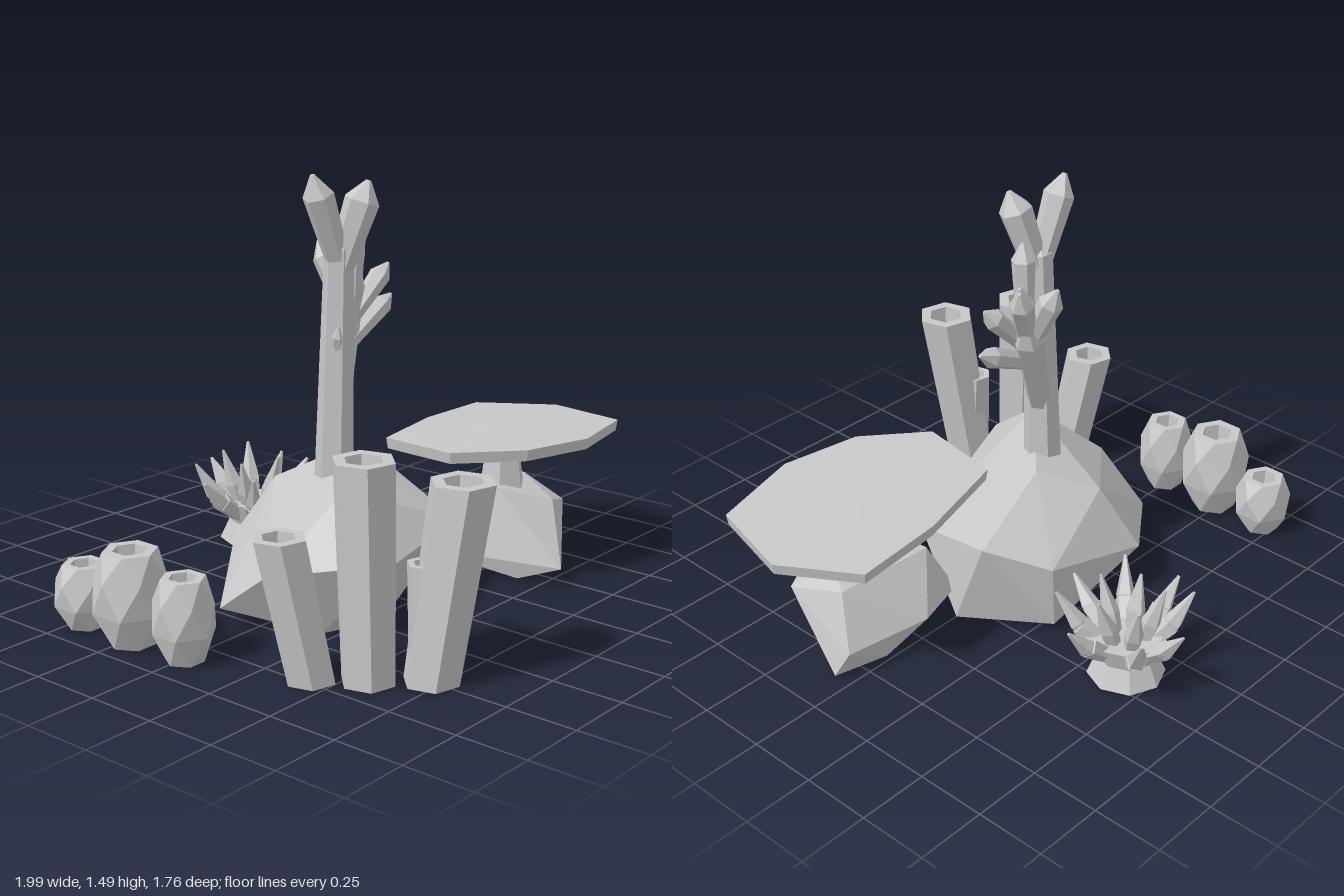
import * as THREE from 'three';
import { ConvexGeometry } from 'three/addons/geometries/ConvexGeometry.js';

const V = (x, y, z) => new THREE.Vector3(x, y, z);

export function createModel() {
  const root = new THREE.Group();
  const stone = new THREE.MeshStandardMaterial({ color: 0xc8c8c8 });
  stone.name = 'stone';

  function add(parent, name, geometry) {
    const g = geometry.index ? geometry.toNonIndexed() : geometry;
    g.computeVertexNormals(); // one normal per face
    const mesh = new THREE.Mesh(g, stone);
    mesh.name = name;
    parent.add(mesh);
    return mesh;
  }
  function group(name) {
    const g = new THREE.Group();
    g.name = name;
    root.add(g);
    return g;
  }

  // Skin over a stack of rings, listed from the bottom up
  function loft(rings) {
    const n = rings[0].length, pos = [];
    const tri = (...p) => p.forEach(v => pos.push(v.x, v.y, v.z));
    for (let j = 0; j < rings.length - 1; j++) {
      for (let i = 0; i < n; i++) {
        const k = (i + 1) % n, a = rings[j], b = rings[j + 1];
        if (a[i].distanceTo(a[k]) > 1e-6) tri(a[i], b[i], a[k]);
        if (b[i].distanceTo(b[k]) > 1e-6) tri(a[k], b[i], b[k]);
      }
    }
    const g = new THREE.BufferGeometry();
    g.setAttribute('position', new THREE.Float32BufferAttribute(pos, 3));
    return g;
  }
  // Horizontal regular ring
  function ring(x, y, z, r, sides, twist = 0) {
    return Array.from({ length: sides }, (_, i) => {
      const t = (i / sides) * Math.PI * 2 + twist;
      return V(x + r * Math.cos(t), y, z + r * Math.sin(t));
    });
  }
  // Pointed limb that is widest at the swell
  function limb(parent, name, from, to, r, sides = 6, swell = 0.78) {
    const a = V(...from), d = V(...to).sub(a), len = d.length();
    const g = loft([
      ring(0, 0, 0, 0, sides), ring(0, 0, 0, r * 0.75, sides),
      ring(0, len * swell, 0, r, sides), ring(0, len, 0, r * 0.15, sides),
      ring(0, len, 0, 0, sides)]);
    g.applyQuaternion(new THREE.Quaternion().setFromUnitVectors(V(0, 1, 0), d.normalize()));
    g.translate(a.x, a.y, a.z);
    add(parent, name, g);
  }

  // Rocks
  const hull = pts => new ConvexGeometry(pts.map(p => V(...p)));
  add(root, 'largeRock', hull([
    [-0.38, 0.29, 0.47], [-0.33, 0.48, 0.23], [0, 0.485, -0.08], [-0.17, 0.4, -0.23],
    [0.25, 0.235, 0.25], [0.34, 0.35, -0.14], [0.18, 0.27, -0.32], [0.16, 0.03, -0.31],
    [-0.24, 0.18, -0.36], [-0.6, 0.23, 0.12], [-0.6, 0.07, -0.09], [0.33, 0, 0.0],
    [-0.42, 0, 0.2], [-0.2, 0, 0.28], [-0.36, 0, -0.1]]));
  add(root, 'smallRock', hull([
    [0.43, 0.315, 0.3], [0.67, 0.31, 0.25], [0.75, 0.27, 0.12], [0.37, 0.27, 0.1],
    [0.28, 0.08, 0.05], [0.845, 0, 0.07], [0.82, 0.1, 0.02], [0.46, 0.06, 0.56],
    [0.5, 0.1, -0.03], [0.62, 0.25, 0.41], [0.47, 0, 0.1], [0.42, 0, 0.4],
    [0.65, 0, 0.3], [0.78, 0.2, 0.35], [0.65, 0, 0.02]]));

  // Tilted plate coral on a short stem
  const plate = group('plateCoral');
  const rim = [[0.1, 0.33], [0.305, 0.51], [0.59, 0.57], [0.92, 0.49],
    [0.995, 0.17], [0.83, -0.09], [0.5, -0.07], [0.14, 0.02]].reverse();
  const plateRing = (s, dy) => rim.map(([x, z]) => {
    const px = 0.55 + (x - 0.55) * s, pz = 0.24 + (z - 0.24) * s;
    return V(px, 0.507 - 0.04 * (px - 0.55) + 0.03 * (pz - 0.24) + dy, pz);
  });
  add(plate, 'plate', loft([plateRing(0, -0.095), plateRing(0.45, -0.085),
    plateRing(0.985, -0.04), plateRing(1, 0), plateRing(0, 0.006)]));
  const stem = add(plate, 'plateStem', new THREE.CylinderGeometry(0.065, 0.09, 0.17, 6));
  stem.position.set(0.54, 0.355, 0.24);

  // Branching coral
  const tree = group('branchCoral');
  add(tree, 'trunk', loft([
    ring(-0.155, 0.44, 0.03, 0, 6), ring(-0.155, 0.44, 0.03, 0.068, 6),
    ring(-0.15, 1.24, 0.05, 0.05, 6), ring(-0.15, 1.27, 0.05, 0, 6)]));
  [
    [[-0.15, 1.18, 0.05], [-0.27, 1.49, 0.04], 0.054],
    [[-0.15, 1.16, 0.05], [-0.08, 1.46, 0.12], 0.06],
    [[-0.14, 0.66, 0.03], [0.06, 1.1, -0.08], 0.054],
    [[-0.14, 0.82, 0.03], [0.0, 1.17, 0.0], 0.045],
    [[-0.05, 1.03, 0.02], [-0.05, 1.31, 0.03], 0.042],
    [[0.0, 0.98, -0.04], [0.12, 1.23, -0.11], 0.044],
    [[0.0, 0.97, -0.04], [0.0, 1.22, -0.17], 0.044],
    [[0.0, 0.97, -0.02], [0.16, 1.14, 0.01], 0.038],
    [[-0.04, 0.88, -0.01], [0.225, 1.015, -0.03], 0.038],
    [[-0.16, 0.82, 0.05], [-0.19, 0.98, 0.08], 0.022],
  ].forEach(([a, b, r], i) => limb(tree, 'branch' + (i + 1), a, b, r));

  // Tall hollow tubes leaning outwards: base x, z, top x, z, height, radii
  const tubes = group('tubeCoral');
  [
    [-0.725, 0.42, -0.8, 0.36, 0.475, 0.085, 0.092],
    [-0.62, 0.565, -0.625, 0.55, 0.715, 0.092, 0.104],
    [-0.495, 0.715, -0.425, 0.775, 0.645, 0.094, 0.107],
    [-0.5, 0.7, -0.5, 0.69, 0.385, 0.06, 0.06],
  ].forEach(([bx, bz, tx, tz, h, r0, r1], i) => {
    const w = 0.25;
    add(tubes, 'tube' + (i + 1), loft([
      ring(bx, 0, bz, 0, 6, w), ring(bx, 0, bz, r0, 6, w), ring(tx, h, tz, r1, 6, w),
      ring(tx, h, tz, r1 * 0.62, 6, w), ring(tx, h - 0.1, tz, r1 * 0.52, 6, w),
      ring(tx, h - 0.1, tz, 0, 6, w)]));
  });

  // Squat barrels with twisted facets: x, z, height, radius
  const barrels = group('barrelSponges');
  [[-0.865, -0.455, 0.22, 0.105], [-0.87, -0.225, 0.32, 0.13], [-0.865, 0.01, 0.28, 0.105]]
    .forEach(([x, z, h, r], i) => {
      const w = Math.PI / 6;
      add(barrels, 'barrel' + (i + 1), loft([
        ring(x, 0, z, 0, 6), ring(x, 0, z, r * 0.62, 6),
        ring(x, h * 0.36, z, r, 6, w), ring(x, h * 0.72, z, r * 0.97, 6, 2 * w),
        ring(x, h, z, r * 0.72, 6, 3 * w), ring(x, h, z, r * 0.45, 6, 3 * w),
        ring(x, h * 0.75, z, r * 0.4, 6, 3 * w), ring(x, h * 0.75, z, 0, 6, 3 * w)]));
    });

  // Anemone with an outer crown and a steeper inner crown
  const anemone = group('anemone');
  const [ax, az] = [0.16, -0.635];
  add(anemone, 'anemoneBase', loft([
    ring(ax, 0, az, 0, 8), ring(ax, 0, az, 0.135, 8), ring(ax, 0.075, az, 0.1, 8),
    ring(ax, 0.15, az, 0.125, 8), ring(ax, 0.14, az, 0, 8)]));
  const tips = [[0.17, -0.875], [0.335, -0.835], [0.405, -0.585], [0.295, -0.435],
    [0.135, -0.375], [-0.03, -0.465], [-0.095, -0.65], [-0.015, -0.775]];
  tips.forEach(([x, z], i) => {
    const at = (s, y) => [ax + (x - ax) * s, y, az + (z - az) * s];
    limb(anemone, 'tentacleRoot' + (i + 1), at(0.3, 0.1), at(0.72, 0.185), 0.037, 5, 0.88);
    limb(anemone, 'tentacle' + (i + 1), at(0.6, 0.15), at(1, i % 2 ? 0.3 : 0.265), 0.034, 5, 0.25);
  });
  for (let i = 0; i < 5; i++) {
    const t = (i / 5) * Math.PI * 2 + 0.3, c = Math.cos(t), s = Math.sin(t);
    limb(anemone, 'innerTentacle' + (i + 1), [ax + 0.05 * c, 0.12, az + 0.05 * s],
      [ax + 0.12 * c, 0.32 + 0.02 * (i % 2), az + 0.12 * s], 0.034, 5, 0.4);
  }
  return root;
}
